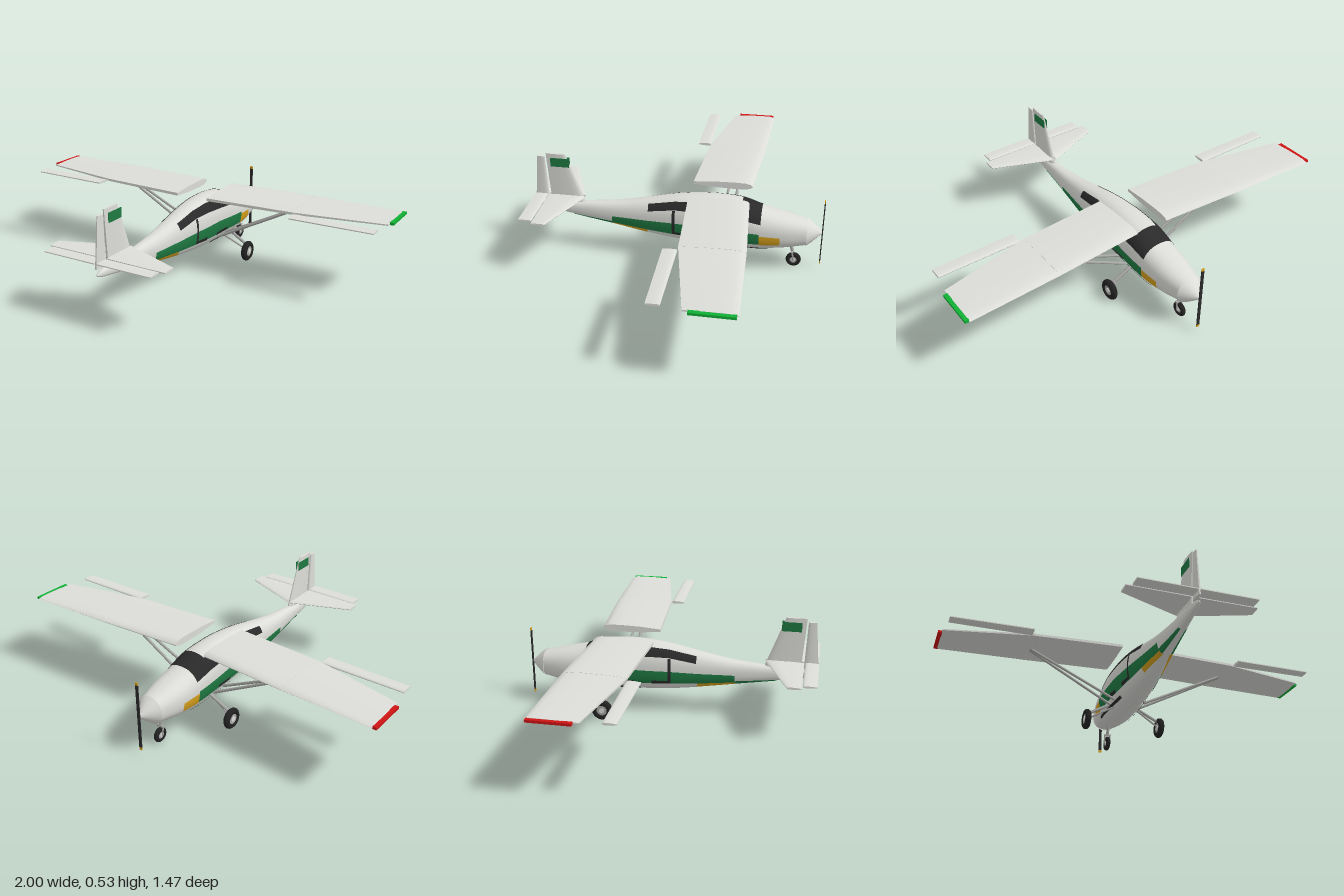
import * as THREE from 'three';
import { toCreasedNormals } from 'three/addons/utils/BufferGeometryUtils.js';
import { ParametricGeometry } from 'three/addons/geometries/ParametricGeometry.js';

const paint = (name, color, side = THREE.FrontSide) => {
  const m = new THREE.MeshStandardMaterial({ color, side });
  m.name = name;
  return m;
};

// Body sections: z, top, bottom, half width
const BODY = [
  [-0.66, 0.268, 0.142, 0.063], [-0.55, 0.295, 0.122, 0.087], [-0.43, 0.322, 0.108, 0.099],
  [-0.33, 0.355, 0.107, 0.101], [-0.2, 0.366, 0.108, 0.096], [-0.1, 0.362, 0.11, 0.09],
  [0, 0.35, 0.116, 0.08], [0.14, 0.321, 0.134, 0.065], [0.3, 0.291, 0.162, 0.047],
  [0.48, 0.273, 0.19, 0.03], [0.66, 0.262, 0.219, 0.017], [0.7, 0.255, 0.226, 0.012], [0.723, 0.243, 0.236, 0.004],
];

// Smooth interpolation through the body table
function bodyAt(z) {
  let i = 0;
  while (i < BODY.length - 2 && z > BODY[i + 1][0]) i++;
  const a = BODY[i], b = BODY[i + 1], p = BODY[Math.max(i - 1, 0)], q = BODY[Math.min(i + 2, BODY.length - 1)];
  const d = b[0] - a[0], t = Math.min(Math.max((z - a[0]) / d, 0), 1);
  const value = (k) => {
    const ma = (b[k] - p[k]) / (b[0] - p[0]) * d, mb = (q[k] - a[k]) / (q[0] - a[0]) * d;
    const t2 = t * t, t3 = t2 * t;
    return (2 * t3 - 3 * t2 + 1) * a[k] + (t3 - 2 * t2 + t) * ma + (3 * t2 - 2 * t3) * b[k] + (t3 - t2) * mb;
  };
  const top = value(1), bottom = value(2);
  return { c: (top + bottom) / 2, h: (top - bottom) / 2, w: value(3) };
}

const POWER = 2.4;
const soft = (v) => Math.sign(v) * Math.abs(v) ** (2 / POWER);

// Skin point by angle from the top, or by height on one side
function skin(z, angle, grow = 0) {
  const { c, h, w } = bodyAt(z);
  return new THREE.Vector3((w + grow) * soft(Math.sin(angle)), c + (h + grow) * soft(Math.cos(angle)), z);
}
function skinAtHeight(z, y, side, grow) {
  const { c, h, w } = bodyAt(z);
  const t = THREE.MathUtils.clamp((y - c) / (h + grow), -0.99, 0.99);
  return new THREE.Vector3(side * (w + grow) * (1 - Math.abs(t) ** POWER) ** (1 / POWER), c + t * (h + grow), z);
}

// Closed loft through rings, always facing outward
function loft(rings, crease = 0.7) {
  const n = rings[0].length, pos = [], idx = [];
  rings.forEach((r) => r.forEach((p) => pos.push(p.x, p.y, p.z)));
  for (let i = 0; i < rings.length - 1; i++) {
    for (let j = 0; j < n; j++) {
      const a = i * n + j, b = i * n + (j + 1) % n;
      idx.push(a, b, a + n, b, b + n, a + n);
    }
  }
  const last = (rings.length - 1) * n;
  for (let j = 1; j < n - 1; j++) idx.push(0, j + 1, j, last, last + j, last + j + 1);
  const at = (i) => new THREE.Vector3().fromArray(pos, i * 3);
  let volume = 0;
  for (let i = 0; i < idx.length; i += 3) volume += at(idx[i]).dot(at(idx[i + 1]).cross(at(idx[i + 2])));
  if (volume < 0) idx.reverse();
  const g = new THREE.BufferGeometry();
  g.setAttribute('position', new THREE.Float32BufferAttribute(pos, 3));
  g.setIndex(idx);
  g.scale(1000, 1000, 1000);
  return toCreasedNormals(g, crease).scale(0.001, 0.001, 0.001);
}

// Flying surface: stations are [span, front z, rear z, mid height, thickness]
const FOIL = [[0, 0], [0.03, 0.28], [0.12, 0.46], [0.3, 0.5], [0.65, 0.42], [1, 0.2],
  [1, -0.2], [0.65, -0.42], [0.3, -0.5], [0.12, -0.46], [0.03, -0.28]];
function panel(stations, upright = false) {
  return loft(stations.map(([s, z0, z1, y, t]) => FOIL.map(([c, f]) => {
    const z = z0 + (z1 - z0) * c;
    return upright ? new THREE.Vector3(y + f * t, s, z) : new THREE.Vector3(s, y + f * t, z);
  })));
}

export function createModel() {
  const white = paint('white paint', 0xdcdcd8);
  const green = paint('green paint', 0x1f7a43, THREE.DoubleSide);
  const yellow = paint('yellow paint', 0xd6a01c, THREE.DoubleSide);
  const dark = paint('dark glass', 0x2a2a2a, THREE.DoubleSide);
  const tyre = paint('tyre rubber', 0x222222);
  const metal = paint('grey metal', 0xa6a6a4);
  const red = paint('red light', 0xd01414);
  const lime = paint('green light', 0x10b034);

  const model = new THREE.Group();
  model.name = 'airplane';
  const add = (name, geometry, material, x = 0, y = 0, z = 0) => {
    const m = new THREE.Mesh(geometry, material);
    m.name = name;
    m.position.set(x, y, z);
    model.add(m);
    return m;
  };
  const rod = (name, a, b, r, material) => {
    const p = new THREE.Vector3(...a), q = new THREE.Vector3(...b), d = q.clone().sub(p);
    const m = add(name, new THREE.CylinderGeometry(r, r, d.length(), 10), material);
    m.position.copy(p).add(q).multiplyScalar(0.5);
    m.quaternion.setFromUnitVectors(new THREE.Vector3(0, 1, 0), d.normalize());
  };
  // Painted strip on both flanks: rows are [z, upper y, lower y]
  const strip = (name, material, rows, grow = 0.002) => {
    const z0 = rows[0][0], z1 = rows[rows.length - 1][0];
    for (const side of [1, -1]) {
      add(name, new ParametricGeometry((u, v, target) => {
        const z = z0 + (z1 - z0) * u;
        let i = 0;
        while (i < rows.length - 2 && z > rows[i + 1][0]) i++;
        const a = rows[i], b = rows[i + 1], t = (z - a[0]) / (b[0] - a[0]);
        const upper = a[1] + (b[1] - a[1]) * t, lower = a[2] + (b[2] - a[2]) * t;
        target.copy(skinAtHeight(z, lower + (upper - lower) * v, side, grow));
      }, 40, 8), material);
    }
  };

  // Fuselage
  const rings = [];
  for (let i = 0; i <= 70; i++) {
    const z = -0.66 + 1.383 * i / 70;
    rings.push(Array.from({ length: 48 }, (_, j) => skin(z, j / 48 * Math.PI * 2)));
  }
  add('fuselage', loft(rings, 0.9), white);

  // Windshield wraps over the roof
  add('windshield', new ParametricGeometry((u, v, target) => {
    const z = -0.43 + 0.097 * u, { c, h } = bodyAt(z);
    const edge = Math.acos(((0.27 + 0.022 * u - c) / h) ** (POWER / 2));
    target.copy(skin(z, (v * 2 - 1) * edge, 0.002));
  }, 10, 40), dark);

  // Flank paint and glass
  strip('sideWindow', dark, [[-0.34, 0.345, 0.292], [-0.2, 0.35, 0.302], [-0.1, 0.348, 0.306], [0, 0.338, 0.302], [0.135, 0.31, 0.277]]);
  strip('greenStripe', green, [[-0.425, 0.222, 0.16], [-0.2, 0.236, 0.162], [0, 0.232, 0.164], [0.14, 0.226, 0.17], [0.325, 0.222, 0.182]]);
  strip('greenStripeTail', green, [[0.325, 0.19, 0.168], [0.45, 0.199, 0.186], [0.53, 0.206, 0.198]]);
  strip('yellowStripeNose', yellow, [[-0.527, 0.205, 0.16], [-0.425, 0.212, 0.157]]);
  strip('yellowStripeTail', yellow, [[0.14, 0.17, 0.147], [0.325, 0.182, 0.166]]);
  strip('doorEdge', dark, [[-0.005, 0.3, 0.17], [0.01, 0.3, 0.17]], 0.004);
  strip('doorSill', dark, [[-0.085, 0.181, 0.162], [0.01, 0.181, 0.168]], 0.004);
  strip('frontSill', dark, [[-0.275, 0.183, 0.165], [-0.175, 0.178, 0.162]], 0.004);
  strip('sideStep', dark, [[-0.47, 0.137, 0.128], [-0.145, 0.137, 0.125]], 0.005);

  // Spinner and propeller
  const spinner = new THREE.LatheGeometry([[0.072, 0], [0.05, 0.027], [0.027, 0.052], [0.012, 0.066], [0, 0.078]].reverse()
    .map(([r, y]) => new THREE.Vector2(r, -y)), 32);
  add('spinner', spinner, white, 0, 0.206, -0.656).rotation.x = Math.PI / 2;
  add('spinnerBack', new THREE.CircleGeometry(0.072, 32), white, 0, 0.206, -0.656);
  add('propeller', new THREE.BoxGeometry(0.015, 0.33, 0.005), dark, 0, 0.208, -0.732);
  for (const s of [1, -1]) add('propellerTip', new THREE.BoxGeometry(0.015, 0.014, 0.005), yellow, 0, 0.208 + s * 0.172, -0.732);

  for (const s of [1, -1]) {
    // Wing, aileron and tip light
    add('innerWing', panel([[s * 0.085, -0.372, -0.073, 0.383, 0.036], [s * 0.535, -0.402, -0.1, 0.383, 0.03]]), white);
    add('outerWing', panel([[s * 0.535, -0.402, -0.1, 0.383, 0.028], [s * 0.982, -0.417, -0.19, 0.379, 0.015]]), white);
    add('aileron', panel([[s * 0.553, -0.1, -0.032, 0.379, 0.014], [s * 0.965, -0.1, -0.038, 0.379, 0.012]]), white);
    add('wingTipLight', new THREE.BoxGeometry(0.02, 0.012, 0.195), s > 0 ? lime : red, s * 0.99, 0.379, -0.312);

    // Wing struts
    rod('wingStrut', [s * 0.53, 0.372, -0.245], [s * 0.08, 0.142, -0.217], 0.007, metal);
    rod('wingStrut', [s * 0.53, 0.372, -0.26], [s * 0.08, 0.142, -0.29], 0.007, metal);

    // Main landing gear
    rod('mainGearLeg', [s * 0.195, 0.085, -0.315], [s * 0.07, 0.155, -0.325], 0.008, metal);
    rod('mainGearBrace', [s * 0.19, 0.06, -0.315], [s * 0.06, 0.13, -0.29], 0.005, metal);

    // Tailplane and elevator
    add('tailplane', panel([[s * 0.008, 0.47, 0.66, 0.297, 0.016], [s * 0.312, 0.592, 0.66, 0.297, 0.011]]), white);
    add('elevator', panel([[s * 0.006, 0.665, 0.732, 0.297, 0.012], [s * 0.285, 0.665, 0.732, 0.297, 0.01]]), white);
    add('finPatch', new THREE.BoxGeometry(0.002, 0.047, 0.096), green, s * 0.0085, 0.483, 0.592);
  }

  // Fin and rudder
  add('fin', panel([[0.25, 0.46, 0.645, 0, 0.028], [0.528, 0.563, 0.663, 0, 0.014]], true), white);
  add('rudder', panel([[0.27, 0.66, 0.731, 0, 0.018], [0.51, 0.67, 0.709, 0, 0.012]], true), white);

  // Wheels
  const wheel = (name, x, z, r, tube, width) => {
    const t = add(name + 'Tyre', new THREE.TorusGeometry(r - tube, tube, 12, 32), tyre, x, r, z);
    t.rotation.y = Math.PI / 2;
    const hub = add(name + 'Hub', new THREE.CylinderGeometry(r - tube * 1.5, r - tube * 1.5, width, 24), metal, x, r, z);
    hub.rotation.z = Math.PI / 2;
    const cap = add(name + 'Cap', new THREE.CylinderGeometry(r * 0.25, r * 0.25, width + 0.006, 16), white, x, r, z);
    cap.rotation.z = Math.PI / 2;
  };
  wheel('leftWheel', 0.2, -0.313, 0.053, 0.016, 0.022);
  wheel('rightWheel', -0.2, -0.313, 0.053, 0.016, 0.022);
  wheel('noseWheel', 0, -0.6, 0.038, 0.012, 0.016);

  // Nose gear fork
  rod('noseGearLeg', [0, 0.14, -0.578], [0, 0.08, -0.594], 0.008, metal);
  for (const s of [1, -1]) rod('noseGearFork', [s * 0.015, 0.085, -0.592], [s * 0.015, 0.038, -0.6], 0.004, metal);
  add('noseGearCrown', new THREE.BoxGeometry(0.036, 0.008, 0.014), metal, 0, 0.084, -0.593);

  return model;
}
